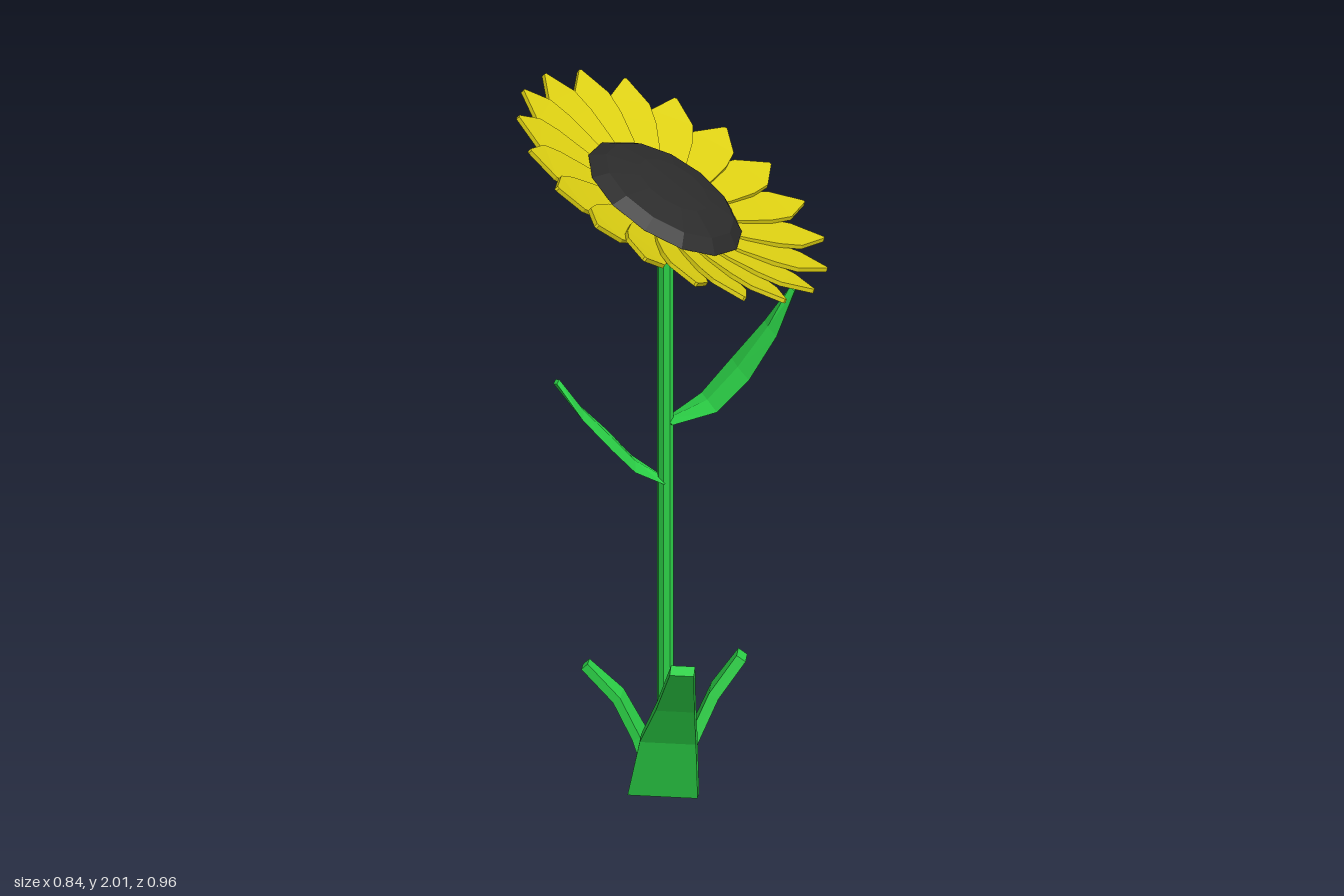
import * as THREE from 'three';

const mat = (color) => new THREE.MeshStandardMaterial({ color, flatShading: true });

// Closed blade swept through rows [x, y, z, halfWidth]; side = width direction.
// Cross-section is a rectangle, or a diamond with a raised midrib.
function blade(rows, side, thick, diamond = false) {
  const s = new THREE.Vector3(...side).normalize();
  const c = rows.map((r) => new THREE.Vector3(r[0], r[1], r[2]));
  const corners = diamond
    ? [[1, 0], [0, 1], [-1, 0], [0, -1]]
    : [[1, 1], [-1, 1], [-1, -1], [1, -1]];
  const pos = [];
  rows.forEach((r, i) => {
    const t = c[Math.min(i + 1, c.length - 1)].clone().sub(c[Math.max(i - 1, 0)]);
    const n = t.cross(s).normalize();
    for (const [a, b] of corners) {
      const p = c[i].clone().addScaledVector(s, a * r[3]).addScaledVector(n, b * thick);
      pos.push(p.x, Math.max(p.y, rows.minY ?? -Infinity), p.z);
    }
  });
  const idx = [];
  for (let i = 0; i < rows.length - 1; i++) {
    for (let j = 0; j < 4; j++) {
      const a = i * 4 + j, b = i * 4 + (j + 1) % 4;
      idx.push(a, b, b + 4, a, b + 4, a + 4);
    }
  }
  const e = (rows.length - 1) * 4;
  idx.push(0, 2, 1, 0, 3, 2, e, e + 1, e + 2, e, e + 2, e + 3);
  const g = new THREE.BufferGeometry();
  g.setAttribute('position', new THREE.Float32BufferAttribute(pos, 3));
  g.setIndex(idx);
  const flat = g.toNonIndexed();
  flat.computeVertexNormals();
  return flat;
}

export function createModel() {
  const model = new THREE.Group();
  model.name = 'sunflower';
  const green = mat(0x2bd046), yellow = mat(0xdccf12), dark = mat(0x2b2b2b);
  const add = (parent, name, geo, material) => {
    const m = new THREE.Mesh(geo, material);
    m.name = name;
    parent.add(m);
    return m;
  };

  // Stem
  const stem = add(model, 'stem', new THREE.CylinderGeometry(0.023, 0.023, 1.675, 8), green);
  stem.position.set(-0.02, 0.8375, 0);

  // Stem leaves
  add(model, 'leftLeaf', blade([
    [-0.01, 1.07, 0, 0.03], [0.09, 1.115, -0.05, 0.075], [0.165, 1.2, -0.1, 0.085],
    [0.24, 1.31, -0.14, 0.06], [0.295, 1.42, -0.17, 0.018],
  ], [0.49, 0, 0.87], 0.01, true), green);
  add(model, 'rightLeaf', blade([
    [-0.025, 0.895, 0, 0.03], [-0.105, 0.945, 0.02, 0.065], [-0.165, 1.015, 0.04, 0.075],
    [-0.24, 1.1, 0.065, 0.057], [-0.303, 1.195, 0.09, 0.018],
  ], [0.31, 0, 0.95], 0.01, true), green);

  // Ground blades, trimmed at the ground
  const groundBlade = (name, rows, side, thick) => {
    rows.minY = 0;
    add(model, name, blade(rows, side, thick), green);
  };
  groundBlade('frontBlade', [
    [-0.012, 0, 0.06, 0.096], [0.012, 0.18, 0.1, 0.077],
    [0.045, 0.3, 0.155, 0.053], [0.082, 0.44, 0.235, 0.033],
  ], [1, 0, -0.1], 0.017);
  groundBlade('leftBlade', [
    [0.02, 0.02, -0.03, 0.055], [0.055, 0.15, -0.03, 0.053],
    [0.105, 0.27, -0.055, 0.043], [0.175, 0.372, -0.078, 0.028],
  ], [0.15, 0, 1], 0.015);
  groundBlade('rightBlade', [
    [-0.045, 0, 0, 0.052], [-0.095, 0.15, 0, 0.047],
    [-0.148, 0.26, 0.015, 0.037], [-0.235, 0.352, 0.035, 0.02],
  ], [0.1, 0, 1], 0.012);

  // Tilted flower head
  const head = new THREE.Group();
  head.name = 'flowerHead';
  head.position.set(0, 1.76, 0);
  head.rotation.z = -Math.PI / 6;
  model.add(head);

  // Overlapping petals forming a shallow bowl, each rolled slightly
  const petalGeo = blade([
    [0.02, -0.088, 0, 0.02], [0.14, -0.073, 0, 0.045], [0.25, -0.053, 0, 0.064],
    [0.34, -0.034, 0, 0.07], [0.405, -0.02, 0, 0.062], [0.482, 0, 0, 0.004],
  ], [0, 0.12, 1], 0.006);
  const petals = 19;
  for (let i = 0; i < petals; i++) {
    const p = add(head, 'petal', petalGeo, yellow);
    p.rotation.y = Math.PI + (i / petals) * Math.PI * 2;
  }

  // Domed seed disc
  const profile = [[0, -0.07], [0.2, -0.062], [0.24, -0.043], [0.2, -0.014], [0.11, 0.006], [0, 0.012]];
  add(head, 'seedDisc', new THREE.LatheGeometry(
    profile.map(([x, y]) => new THREE.Vector2(x, y)), 13), dark);

  return model;
}
